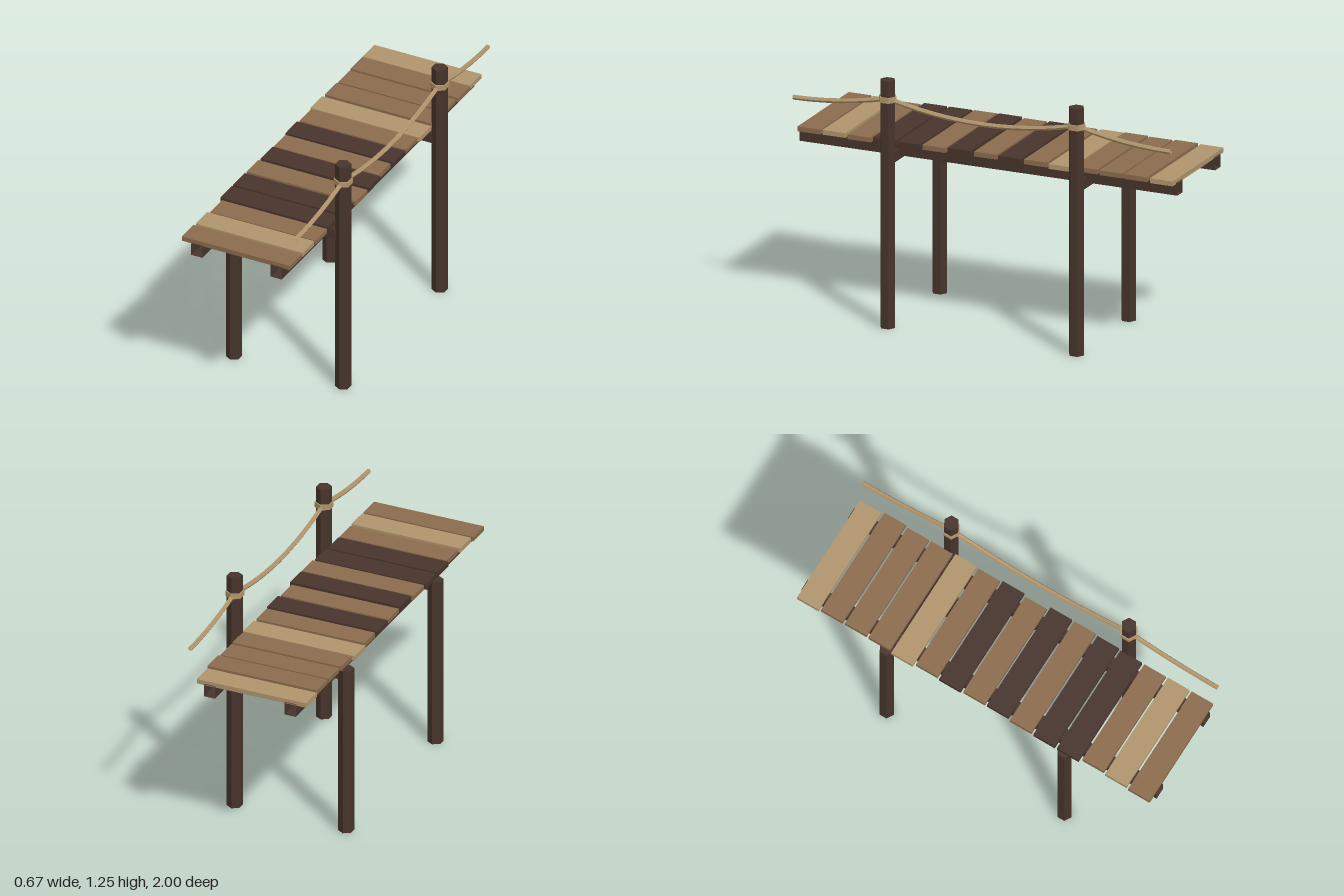
import * as THREE from 'three';

const makeMaterial = (name, color, extra = {}) => {
  const m = new THREE.MeshStandardMaterial({ color, flatShading: true, ...extra });
  m.name = name;
  return m;
};

export function createModel() {
  const dark = makeMaterial('darkWood', 0x47342c, { side: THREE.DoubleSide });
  const brown = makeMaterial('brownWood', 0x8b6b4d);
  const tan = makeMaterial('tanWood', 0xb0956c, { side: THREE.DoubleSide });

  const model = new THREE.Group();
  model.name = 'boardwalk';
  const add = (name, geometry, material, x, y, z) => {
    const mesh = new THREE.Mesh(geometry, material);
    mesh.name = name;
    mesh.position.set(x, y, z);
    model.add(mesh);
    return mesh;
  };

  const railX = 0.292, ropeHigh = 1.155, ropeLow = 1.092;

  // Hexagonal posts, cross beams and rope wraps at both supports
  const hexPost = (height) => new THREE.CylinderGeometry(0.039, 0.039, height, 6);
  for (const z of [-0.5, 0.5]) {
    add('railPost', hexPost(1.25), dark, railX, 0.625, z);
    add('shortPost', hexPost(0.88), dark, -0.3, 0.44, z);
    add('crossBeam', new THREE.BoxGeometry(0.592, 0.055, 0.045), dark, -0.004, 0.8525, z);
    add('ropeWrap', new THREE.CylinderGeometry(0.046, 0.046, 0.028, 6), tan, railX, ropeHigh, z);
  }

  // Long stringers: square sleeves with open ends
  for (const x of [-0.24, 0.19]) {
    const sleeve = new THREE.CylinderGeometry(Math.SQRT1_2, Math.SQRT1_2, 1, 4, 1, true);
    sleeve.rotateY(Math.PI / 4).rotateX(Math.PI / 2).scale(0.06, 0.065, 2);
    add('stringer', sleeve, dark, x, 0.8825, 0);
  }

  // Deck planks, back to front: colour, left edge, right edge, top height
  const planks = [
    [tan, -0.32, 0.26, 0.932], [brown, -0.315, 0.267, 0.937], [brown, -0.313, 0.26, 0.935],
    [brown, -0.316, 0.26, 0.937], [tan, -0.325, 0.267, 0.932], [brown, -0.314, 0.26, 0.935],
    [dark, -0.32, 0.266, 0.937], [brown, -0.314, 0.255, 0.936], [dark, -0.315, 0.27, 0.941],
    [brown, -0.322, 0.27, 0.937], [dark, -0.325, 0.265, 0.935], [dark, -0.325, 0.26, 0.935],
    [brown, -0.309, 0.26, 0.932], [tan, -0.318, 0.26, 0.936], [brown, -0.324, 0.26, 0.935],
  ];
  const pitch = 2 / planks.length;
  planks.forEach(([material, left, right, top], i) => {
    const geometry = new THREE.BoxGeometry(right - left, 0.024, 0.121);
    add('plank', geometry, material, (left + right) / 2, top - 0.012, -1 + pitch * (i + 0.5));
  });

  // Sagging rope handrail: half swags beyond the posts, a full one between
  for (const [z0, z1, middle] of [[-1, -0.5, -1], [-0.5, 0.5, 0], [0.5, 1, 1]]) {
    const points = [];
    const steps = Math.round((z1 - z0) * 12);
    for (let i = 0; i <= steps; i++) {
      const z = z0 + ((z1 - z0) * i) / steps;
      const t = (z - middle) / 0.5;
      points.push(new THREE.Vector3(0, ropeLow + (ropeHigh - ropeLow) * t * t, z));
    }
    const path = new THREE.CatmullRomCurve3(points);
    add('rope', new THREE.TubeGeometry(path, steps, 0.012, 6), tan, railX, 0, 0);
  }

  return model;
}
